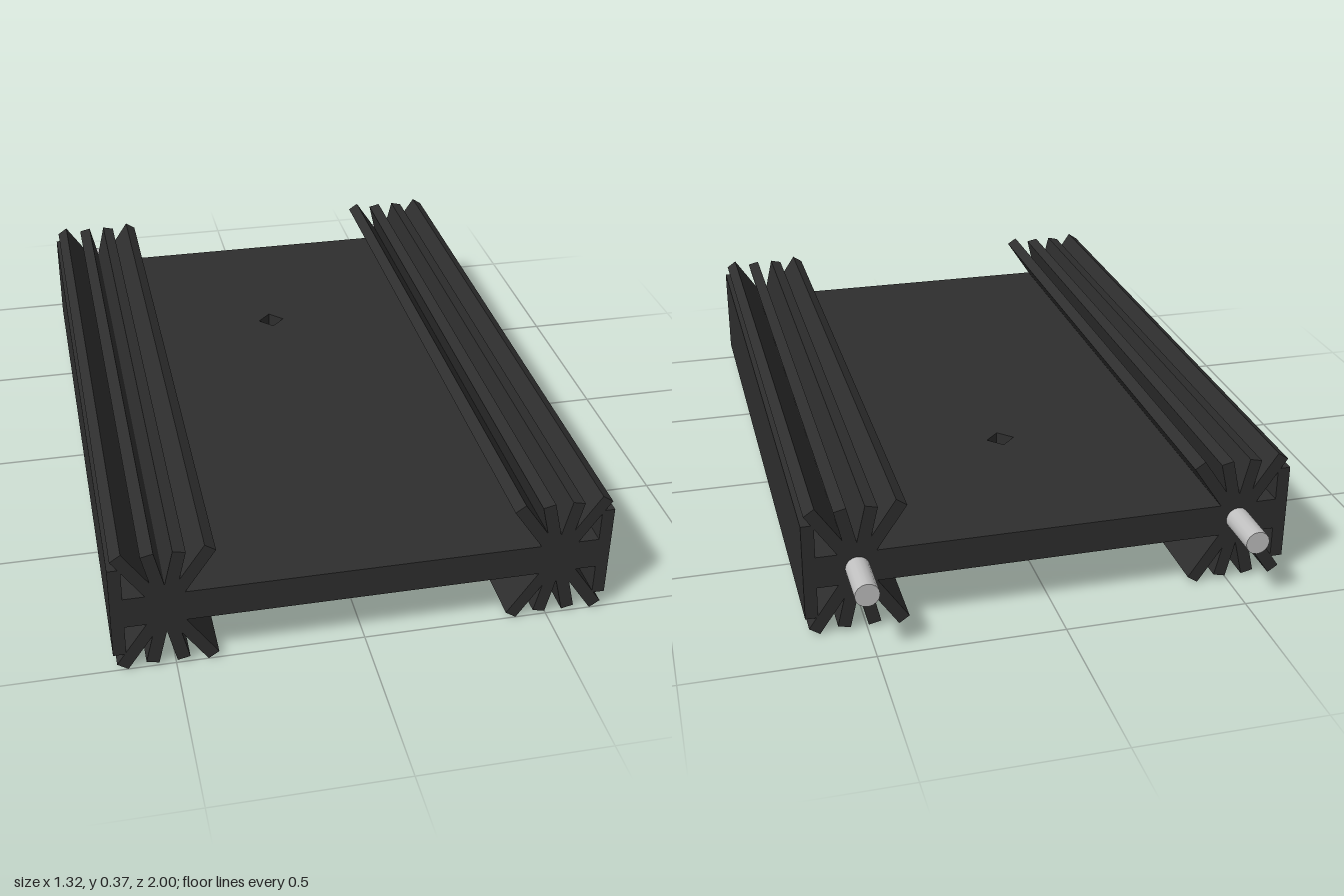
import * as THREE from 'three';

export function createModel() {
  const group = new THREE.Group();
  group.name = 'finnedRail';
  const dark = new THREE.MeshStandardMaterial({ color: 0x2e2e2e });
  dark.name = 'dark anodised metal';
  const steel = new THREE.MeshStandardMaterial({ color: 0xc0c0c0 });
  steel.name = 'bright steel';

  const midY = 0.185, front = 1, back = -0.865;
  const length = front - back, midZ = (front + back) / 2;
  const hubX = 0.52;

  const add = (name, geometry, material, x, y, z, parent = group) => {
    const mesh = new THREE.Mesh(geometry, material);
    mesh.name = name;
    mesh.position.set(x, y, z);
    parent.add(mesh);
    return mesh;
  };

  // Flat web with a small diamond hole right through it
  const webHalf = 0.63, webThick = 0.09, holeZ = -0.33, holeR = 0.04;
  const web = new THREE.Shape([
    new THREE.Vector2(-webHalf, -front), new THREE.Vector2(webHalf, -front),
    new THREE.Vector2(webHalf, -back), new THREE.Vector2(-webHalf, -back),
  ]);
  web.holes.push(new THREE.Path([
    new THREE.Vector2(holeR, -holeZ), new THREE.Vector2(0, -holeZ - holeR),
    new THREE.Vector2(-holeR, -holeZ), new THREE.Vector2(0, -holeZ + holeR),
  ]));
  const webGeometry = new THREE.ExtrudeGeometry(web, { depth: webThick, bevelEnabled: false });
  webGeometry.rotateX(-Math.PI / 2);
  add('web', webGeometry, dark, 0, midY - webThick / 2, 0);

  // Fins fan out above and below each hub: [angle from vertical, reach]
  const fins = [[-0.595, 0.211], [-0.23, 0.177], [0.23, 0.177], [0.595, 0.211]];

  for (const side of [1, -1]) {
    const rail = new THREE.Group();
    rail.name = side > 0 ? 'leftRail' : 'rightRail';
    group.add(rail);

    for (const up of [0, Math.PI]) {
      for (const [angle, reach] of fins) {
        const geometry = new THREE.BoxGeometry(0.034, reach, length);
        geometry.translate(0, reach / 2, 0);
        add('fin', geometry, dark, side * hubX, midY, midZ, rail).rotation.z = angle + up;
      }
    }

    // Solid core where the fins meet
    const core = new THREE.CylinderGeometry(0.065, 0.065, length, 16);
    core.rotateX(Math.PI / 2);
    add('core', core, dark, side * hubX, midY, midZ, rail);

    // Outer side wall
    add('sideWall', new THREE.BoxGeometry(0.034, 0.272, length), dark, side * 0.644, 0.187, midZ, rail);

    // Locating pin out of the back end
    const pin = new THREE.CylinderGeometry(0.0325, 0.0325, 0.185, 16);
    pin.rotateX(Math.PI / 2);
    add('pin', pin, steel, side * hubX, midY, -1 + 0.185 / 2, rail);
  }
  return group;
}
